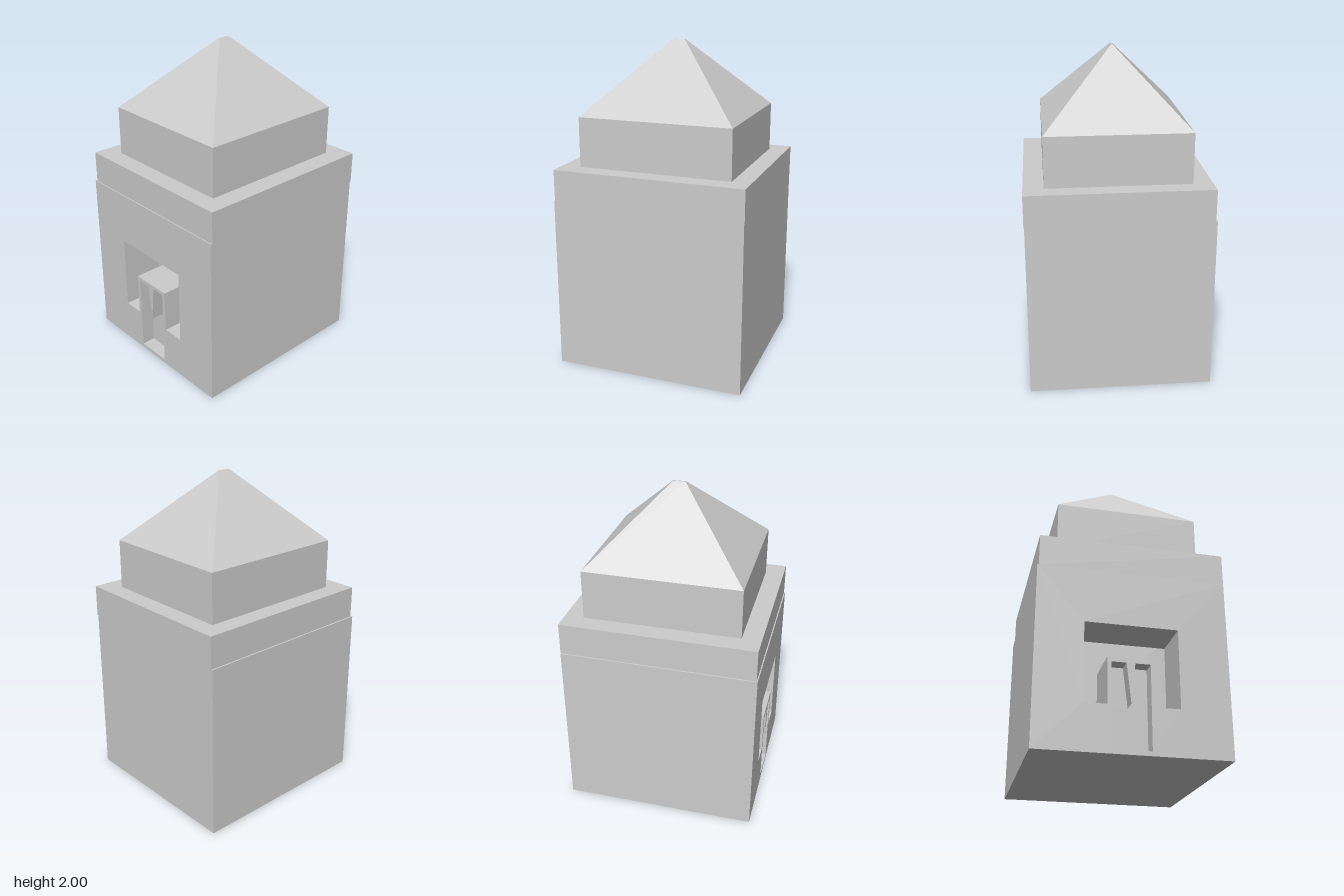
import * as THREE from 'three';

const material = new THREE.MeshStandardMaterial({ color: 0xcccccc, flatShading: true });

function add(group, name, geometry) {
  const mesh = new THREE.Mesh(geometry, material);
  mesh.name = name;
  group.add(mesh);
}

// Box given by its limits on each axis
function block([x0, x1], [y0, y1], [z0, z1]) {
  return new THREE.BoxGeometry(x1 - x0, y1 - y0, z1 - z0)
    .translate((x0 + x1) / 2, (y0 + y1) / 2, (z0 + z1) / 2);
}

// Front wall layer with openings, extruded from z0 to z1
function wallLayer([x0, x1], [y0, y1], [z0, z1], openings) {
  const points = (list) => list.map(([x, y]) => new THREE.Vector2(x, y));
  const shape = new THREE.Shape(points([[x0, y0], [x1, y0], [x1, y1], [x0, y1]]));
  shape.holes = openings.map((o) => new THREE.Path(points(o)));
  return new THREE.ExtrudeGeometry(shape, { depth: z1 - z0, bevelEnabled: false }).translate(0, 0, z0);
}

// Hipped roof: a box whose top corners close in on a short ridge
function hippedRoof(xs, ys, zs, ridgeX, ridgeZ) {
  const geometry = block(xs, ys, zs);
  const p = geometry.attributes.position;
  const midX = (xs[0] + xs[1]) / 2, midZ = (zs[0] + zs[1]) / 2;
  const midY = (ys[0] + ys[1]) / 2;
  for (let i = 0; i < p.count; i++) {
    if (p.getY(i) < midY) continue;
    p.setX(i, ridgeX[p.getX(i) > midX ? 1 : 0]);
    p.setZ(i, ridgeZ[p.getZ(i) > midZ ? 1 : 0]);
  }
  geometry.computeVertexNormals();
  return geometry;
}

export function createModel() {
  const model = new THREE.Group();
  model.name = 'tower';

  const bodyX = [-0.555, 0.552], bodyY = [0, 1.07];
  const back = -0.59, recessBack = 0.323, doorBack = 0.508, front = 0.593;

  // Deep recess around the door block
  const recess = [
    [-0.28, 0.27], [-0.15, 0.27], [-0.15, 0.54], [0.12, 0.54],
    [0.12, 0.27], [0.26, 0.27], [0.26, 0.74], [-0.28, 0.74],
  ];
  // Shallow door panel with a pointed wedge hanging from its top
  const door = [
    [-0.128, 0.026], [0.095, 0.026], [0.095, 0.515], [0.008, 0.515],
    [-0.017, 0.28], [-0.042, 0.515], [-0.128, 0.515],
  ];

  // Main body, from back to front
  add(model, 'body', block(bodyX, bodyY, [back, recessBack]));
  add(model, 'recessWall', wallLayer(bodyX, bodyY, [recessBack, doorBack], [recess]));
  add(model, 'doorWall', wallLayer(bodyX, bodyY, [doorBack, front], [recess, door]));

  // Stepped upper storeys
  add(model, 'upperBand', block([-0.545, 0.555], [1.07, 1.265], [-0.593, 0.586]));
  add(model, 'upperStorey', block([-0.428, 0.434], [1.265, 1.568], [-0.478, 0.47]));

  // Roof
  add(model, 'roof', hippedRoof([-0.428, 0.434], [1.568, 2], [-0.478, 0.47], [-0.003, 0.009], [-0.042, 0.034]));
  return model;
}
